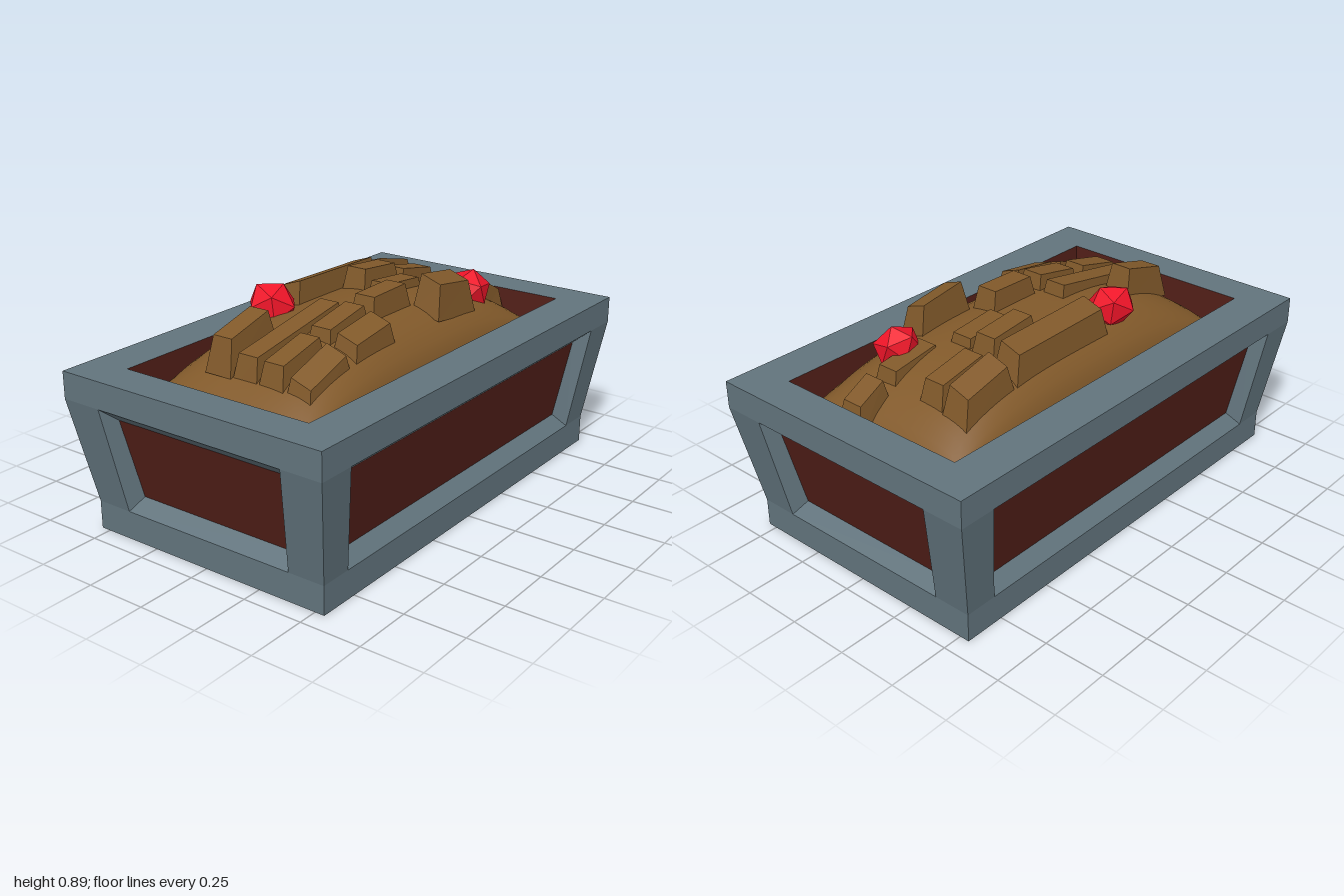
import * as THREE from 'three';

const mat = (color, extra = {}) => new THREE.MeshStandardMaterial({ color, ...extra });

// Flat-shaded geometry from counter-clockwise quads of [x, y, z] corners
function quads(list) {
  const pos = [];
  for (const [a, b, c, d] of list) pos.push(...a, ...b, ...c, ...a, ...c, ...d);
  const g = new THREE.BufferGeometry();
  g.setAttribute('position', new THREE.Float32BufferAttribute(pos, 3));
  g.computeVertexNormals();
  return g;
}

// Quads joining two four-corner loops
const bridge = (lo, hi) => lo.map((p, i) => [p, lo[(i + 1) % 4], hi[(i + 1) % 4], hi[i]]);

// Horizontal rectangle loop
const rect = (x, y, z) => [[-x, y, z], [x, y, z], [x, y, -z], [-x, y, -z]];

// Upright trapezoid loop: bottom and top half-width, height and depth
const trapezoid = (w0, y0, d0, w1, y1, d1) => [[-w0, y0, d0], [w0, y0, d0], [w1, y1, d1], [-w1, y1, d1]];

export function createModel() {
  const model = new THREE.Group();
  const steel = mat(0x62747d), red = mat(0x521f18), earth = mat(0x81592a), ruby = mat(0xee1428, { flatShading: true });
  const add = (name, geometry, material, parent = model) => {
    const m = new THREE.Mesh(geometry, material);
    m.name = name;
    parent.add(m);
    return m;
  };

  // Base, rim and inner lining
  const foot = rect(0.92, 0, 0.54);
  add('base', quads([...bridge(foot, rect(0.92, 0.115, 0.54)), [...foot].reverse()]), steel);
  const rimTop = rect(1, 0.655, 0.6), mouth = rect(0.845, 0.655, 0.425);
  add('rim', quads([...bridge(rect(1, 0.545, 0.6), rimTop), ...bridge(rimTop, mouth)]), steel);
  add('lining', quads(bridge(mouth, rect(0.835, 0.45, 0.415))), red);

  // Flared sides: corner posts, bevelled frame and recessed panel
  const sides = [
    { name: 'long', w: [0.92, 1], d: [0.54, 0.6], h: [0.785, 0.845], turn: 0 },
    { name: 'short', w: [0.54, 0.6], d: [0.92, 1], h: [0.385, 0.425], turn: Math.PI / 2 },
  ];
  for (const { name, w, d, h, turn } of sides) {
    for (const flip of [0, Math.PI]) {
      const side = new THREE.Group();
      side.name = name + 'Side';
      side.rotation.y = turn + flip;
      model.add(side);
      const outer = trapezoid(w[0], 0.115, d[0], w[1], 0.545, d[1]);
      const hole = trapezoid(h[0], 0.115, d[0], h[1], 0.545, d[1]);
      const inner = trapezoid(h[0] - 0.035, 0.167, d[0] - 0.052, h[1] - 0.035, 0.49, d[1] - 0.066);
      const posts = [bridge(outer, hole)[1], bridge(outer, hole)[3]];
      add('sideFrame', quads([...posts, ...bridge(hole, inner)]), steel, side);
      add('sidePanel', quads([inner]), red, side);
    }
  }

  // Rounded mound filling the box
  const mound = new THREE.PlaneGeometry(1.66, 0.82, 36, 24).rotateX(-Math.PI / 2);
  const mp = mound.attributes.position;
  for (let i = 0; i < mp.count; i++) {
    const u = Math.min(1, Math.abs(mp.getX(i)) / 0.83), v = Math.min(1, Math.abs(mp.getZ(i)) / 0.41);
    mp.setY(i, 0.5 + 0.28 * (1 - u ** 3) ** 0.75 * (1 - v ** 3) ** 0.55);
  }
  mound.computeVertexNormals();
  add('mound', mound, earth);

  // Tapered blocks on the mound: x start, x end, row, top height at each end
  const blocks = [
    [-0.69, -0.42, -1, 0.79, 0.845], [-0.69, -0.15, 0, 0.745, 0.83], [-0.69, -0.42, 1, 0.74, 0.79],
    [-0.42, -0.15, 1, 0.80, 0.84], [-0.15, 0.12, 1, 0.855, 0.86], [-0.69, -0.42, 2, 0.69, 0.76],
    [-0.42, -0.15, 2, 0.78, 0.81], [0.12, 0.39, 2, 0.875, 0.845], [-0.15, 0.39, -2, 0.84, 0.83],
    [0.39, 0.66, -2, 0.81, 0.76], [0.12, 0.39, -1, 0.86, 0.84], [0.39, 0.66, -1, 0.80, 0.76],
    [0.12, 0.39, 0, 0.82, 0.80], [0.39, 0.66, 1, 0.76, 0.73], [0.66, 0.84, 1, 0.72, 0.66],
  ];
  for (const [x0, x1, row, y0, y1] of blocks) {
    const g = new THREE.BoxGeometry(1, 1, 1), p = g.attributes.position;
    for (let i = 0; i < p.count; i++) {
      const sx = Math.sign(p.getX(i)), sy = Math.sign(p.getY(i)), sz = Math.sign(p.getZ(i));
      const top = sy > 0, inset = top ? 0.033 : 0;
      const tilt = Math.abs(row) === 2 ? -0.015 * sz * Math.sign(row) : 0;
      p.setXYZ(i,
        sx < 0 ? x0 + inset : x1 - inset,
        (sx < 0 ? y0 : y1) + tilt - (top ? 0 : 0.14),
        row * 0.12 + sz * (top ? 0.044 : 0.061));
    }
    const flat = g.toNonIndexed();
    flat.computeVertexNormals();
    add('block', flat, earth);
  }

  // Two faceted gems
  const gems = [[-0.235, 0.785, -0.24, 0.1, 0.3], [0.5, 0.745, 0.2, 0.093, 1.1]];
  for (const [x, y, z, r, spin] of gems) {
    const gem = add('gem', new THREE.IcosahedronGeometry(r, 0), ruby);
    gem.position.set(x, y, z);
    gem.rotation.set(0.5, spin, 0.2);
    gem.scale.set(0.95, 0.88, 1.03);
  }
  return model;
}
